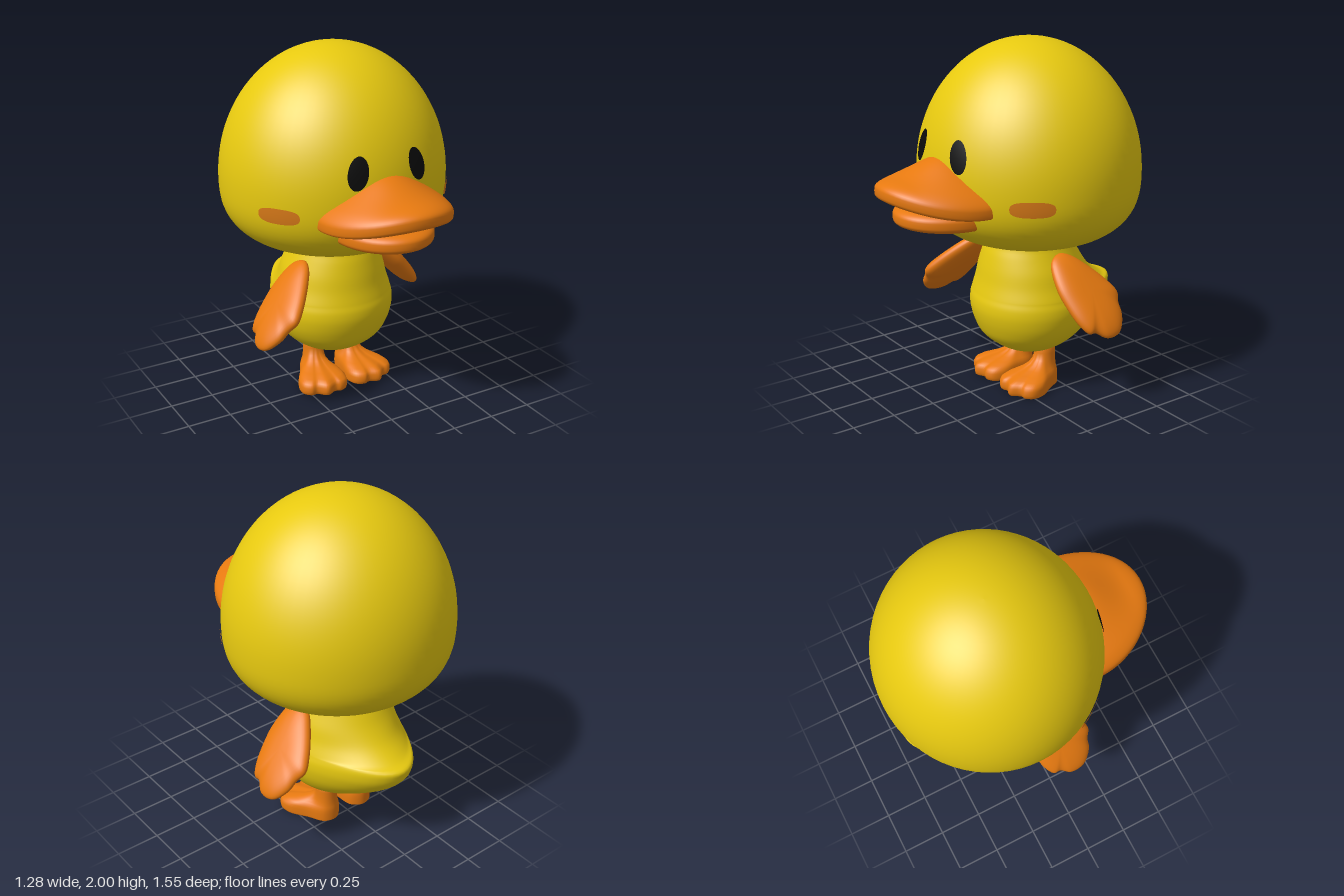
import * as THREE from 'three';
import { mergeVertices } from 'three/addons/utils/BufferGeometryUtils.js';

const mat = (name, color) => Object.assign(new THREE.MeshStandardMaterial({ color }), { name });
const SEG = 64;
const HEAD_Z = -0.155, HEAD_DEPTH = 0.968;

// Head radius at a given height: round dome above, fuller curve below
function headRadius(y) {
  const t = y > 1.27 ? (y - 1.27) / 0.73 : (1.27 - y) / 0.41;
  const p = y > 1.27 ? 2 : 2.7;
  return 0.64 * Math.pow(Math.max(0, 1 - Math.pow(t, p)), 1 / p);
}

// Smooth closed surface through a stack of rings
function loft(rings) {
  const n = rings[0].length, pos = [], idx = [];
  for (const ring of rings) for (const p of ring) pos.push(p.x, p.y, p.z);
  for (let i = 0; i < rings.length - 1; i++) {
    for (let j = 0; j < n; j++) {
      const a = i * n + j, b = i * n + (j + 1) % n;
      idx.push(a, b, b + n, a, b + n, a + n);
    }
  }
  for (const top of [false, true]) {
    const ring = top ? rings[rings.length - 1] : rings[0];
    const c = ring.reduce((s, p) => s.add(p), new THREE.Vector3()).divideScalar(n);
    const ci = pos.length / 3, base = top ? (rings.length - 1) * n : 0;
    pos.push(c.x, c.y, c.z);
    for (let j = 0; j < n; j++) {
      const a = base + j, b = base + (j + 1) % n;
      if (top) idx.push(ci, a, b); else idx.push(ci, b, a);
    }
  }
  const g = new THREE.BufferGeometry();
  g.setAttribute('position', new THREE.Float32BufferAttribute(pos, 3));
  g.setIndex(idx);
  g.computeVertexNormals();
  return g;
}

// Move every vertex by a rule, then smooth the result
function deform(geo, rule) {
  geo.deleteAttribute('uv');
  geo.deleteAttribute('normal');
  const g = mergeVertices(geo, 1e-5), p = g.attributes.position, v = new THREE.Vector3();
  for (let i = 0; i < p.count; i++) {
    rule(v.fromBufferAttribute(p, i));
    p.setXYZ(i, v.x, v.y, v.z);
  }
  g.computeVertexNormals();
  return g;
}

const closedCurve = pts => new THREE.CatmullRomCurve3(
  pts.map(([x, z]) => new THREE.Vector3(x, 0, z)), true).getPoints(SEG).slice(0, SEG);

function headGeometry() {
  const pts = [];
  for (let i = 0; i <= 48; i++) {
    const y = 1.43 - 0.57 * Math.cos(Math.PI * i / 48);
    pts.push(new THREE.Vector2(headRadius(y), y));
  }
  return new THREE.LatheGeometry(pts, SEG).scale(1, 1, HEAD_DEPTH).translate(0, 0, HEAD_Z);
}

// Painted patch that hugs the head, placed by angle and height
function headPatch(angle, y, halfAngle, halfHeight, tilt, power) {
  return deform(new THREE.RingGeometry(0.001, 1, 48, 8), v => {
    const r = Math.hypot(v.x, v.y), c = v.x / r, s = v.y / r;
    const k = r / Math.pow(Math.abs(c) ** power + Math.abs(s) ** power, 1 / power);
    const py = y + s * k * halfHeight;
    const a = angle + c * k * halfAngle + tilt * s * k;
    const R = headRadius(py) + 0.007;
    v.set(R * Math.sin(a), py, HEAD_Z + HEAD_DEPTH * R * Math.cos(a));
  });
}

// Body with the tail drawn out from its back: height, half width, front, back
function bodyGeometry() {
  const rows = [
    [0.18, 0.01, 0.01, 0.01], [0.19, 0.09, 0.09, 0.12], [0.23, 0.19, 0.18, 0.21],
    [0.30, 0.28, 0.27, 0.32], [0.38, 0.33, 0.31, 0.44], [0.46, 0.35, 0.33, 0.52],
    [0.52, 0.35, 0.33, 0.55], [0.56, 0.34, 0.32, 0.55], [0.58, 0.335, 0.315, 0.49],
    [0.64, 0.315, 0.30, 0.40], [0.72, 0.295, 0.285, 0.33], [0.80, 0.265, 0.265, 0.28],
    [0.86, 0.245, 0.245, 0.245], [0.92, 0.24, 0.24, 0.22]];
  const curve = pick => new THREE.CatmullRomCurve3(rows.map(pick), false, 'catmullrom');
  const main = curve(r => new THREE.Vector3(r[0], r[1], r[2]));
  const back = curve(r => new THREE.Vector3(r[0], r[3], 0));
  const rings = [];
  for (let i = 0; i <= 52; i++) {
    const { x: y, y: w, z: f } = main.getPoint(i / 52), b = back.getPoint(i / 52).y;
    rings.push(Array.from({ length: SEG }, (_, j) => {
      const t = j / SEG * Math.PI * 2, c = Math.cos(t);
      const z = c > 0 ? f * c : Math.min(w, b) * c + Math.max(0, b - w) * c ** 3;
      return new THREE.Vector3(w * Math.sin(t), y, -0.16 + z);
    }));
  }
  return loft(rings);
}

// Three-lobed padded wing sloping out and down from the shoulder
function wingGeometry() {
  const outline = closedCurve([
    [-0.17, 0.825], [-0.1, 0.79], [-0.07, 0.68], [-0.08, 0.6], [-0.11, 0.51], [-0.15, 0.462],
    [-0.19, 0.46], [-0.25, 0.425], [-0.34, 0.435], [-0.4, 0.5], [-0.41, 0.55], [-0.435, 0.6],
    [-0.4, 0.66], [-0.3, 0.76], [-0.23, 0.81]]);
  const rings = [];
  for (let i = 0; i <= 20; i++) {
    const phi = (i / 20 - 0.5) * Math.PI * 0.98;
    const k = Math.cos(phi) ** 0.7, t = 0.055 * Math.sin(phi);
    rings.push(outline.map(p => {
      const z = -0.24 + (p.x + 0.24) * k, y = 0.62 + (p.z - 0.62) * k;
      return new THREE.Vector3(0.28 + (0.8 - y) * 0.88 + t * 0.66, y + t * 0.75, z);
    }));
  }
  return loft(rings);
}

// Webbed foot narrowing into the ankle: height, spread
function footGeometry() {
  const side = [[0.055, 0.265], [0.09, 0.27], [0.13, 0.24], [0.14, 0.17], [0.1, 0.06], [0.065, -0.04]];
  const outline = closedCurve([[0, 0.3], ...side, [0, -0.07],
    ...side.map(([x, z]) => [-x, z]).reverse()]);
  const rows = [[0, 0.9], [0, 0.96], [0.006, 0.985], [0.02, 1], [0.045, 1], [0.065, 0.95], [0.08, 0.8],
    [0.092, 0.6], [0.105, 0.38], [0.125, 0.19], [0.15, 0.07], [0.19, 0], [0.27, 0]];
  return loft(rows.map(([y, k]) => outline.map(p => {
    const a = Math.atan2(p.x, p.z), r = 0.06;
    return new THREE.Vector3(
      THREE.MathUtils.lerp(r * Math.sin(a), p.x, k), y,
      THREE.MathUtils.lerp(r * Math.cos(a), p.z, k));
  })));
}

// Bill half: flattened ball with drooping sides and an optional ridge
function billGeometry(w, h, length, y, droop, ridge) {
  return deform(new THREE.SphereGeometry(1, SEG, 48), v => {
    const x = w * v.x, z = 0.34 + length * v.z;
    const lift = v.y > 0
      ? ridge * Math.exp(-((x / 0.2) ** 2)) * THREE.MathUtils.smoothstep(0.68 - z, 0, 0.28) * Math.min(1, v.y * 2)
      : 0;
    v.set(x, y + h * Math.sign(v.y) * Math.abs(v.y) ** 0.6 - droop * v.x ** 2 + lift, z);
  });
}

export function createModel() {
  const yellow = mat('yellow plumage', 0xe8ca10), orange = mat('orange skin', 0xe87a10);
  const black = mat('black eye', 0x0b0b0b), blush = mat('cheek blush', 0xd97a18);
  const model = new THREE.Group();
  model.name = 'duckling';
  const add = (name, geo, material) => {
    const m = new THREE.Mesh(geo, material);
    m.name = name;
    model.add(m);
    return m;
  };

  add('head', headGeometry(), yellow);
  add('body', bodyGeometry(), yellow);
  add('upperBill', billGeometry(0.37, 0.085, 0.44, 1.26, 0.085, 0.075), orange);
  add('lowerBill', billGeometry(0.27, 0.075, 0.35, 1.108, 0.01, 0), orange);

  const wing = wingGeometry(), foot = footGeometry();
  add('leftWing', wing, orange);
  // The right wing swings forward while the left swings back
  const rightWing = add('rightWing', wing, orange);
  rightWing.rotation.y = Math.PI;
  rightWing.position.z = -0.18;

  for (const [side, s] of [['left', 1], ['right', -1]]) {
    add(side + 'Eye', headPatch(s * 0.286, 1.445, 0.09, 0.087, -s * 0.016, 2), black);
    add(side + 'Cheek', headPatch(s * 0.955, 1.208, 0.19, 0.043, 0, 2.8), blush);
    const f = add(side + 'Foot', foot, orange);
    f.position.set(s * 0.115, 0, -0.195);
    f.rotation.y = s * 0.2;
  }
  return model;
}
